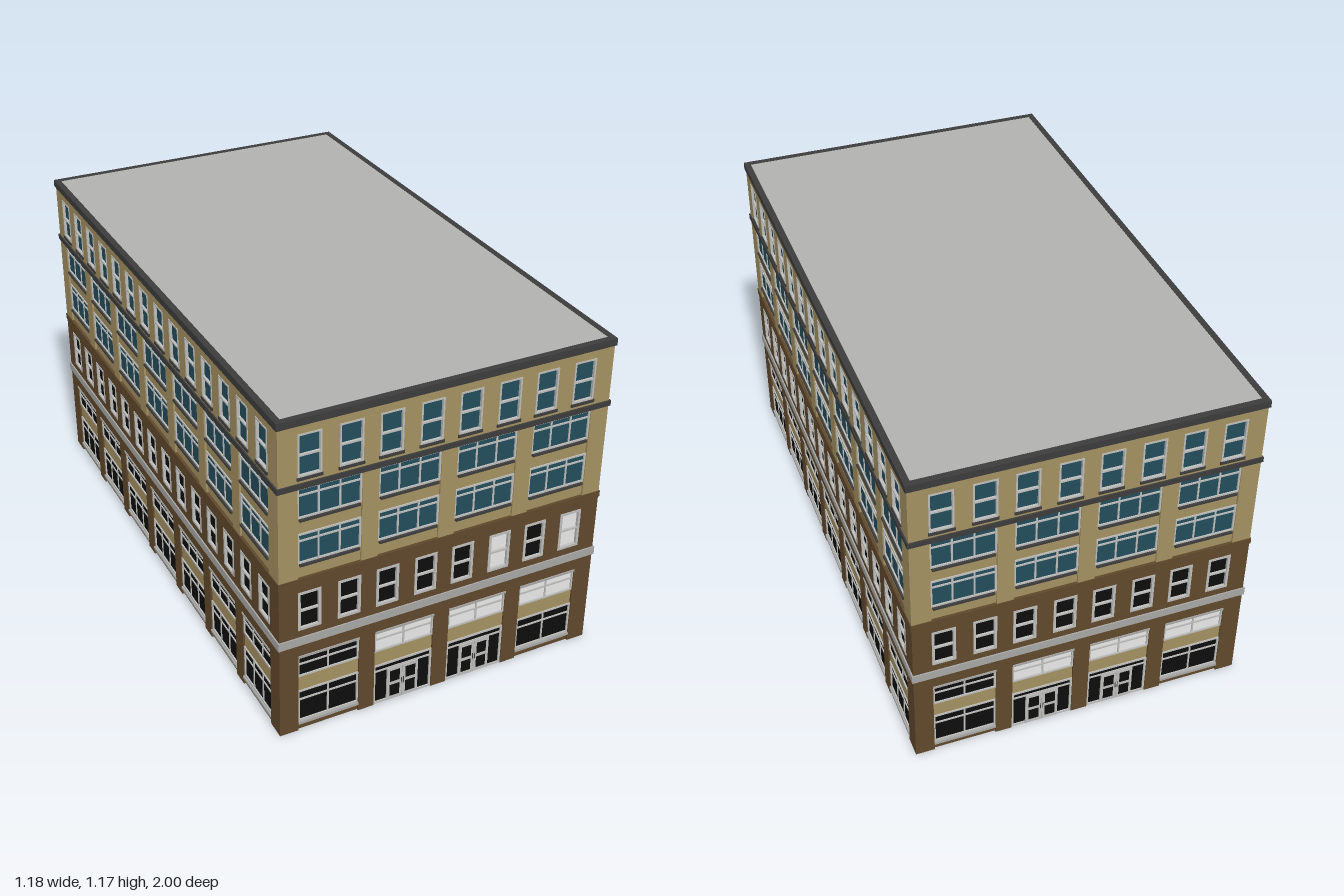
import * as THREE from 'three';
import { mergeGeometries } from 'three/addons/utils/BufferGeometryUtils.js';

const material = (name, color) => {
  const m = new THREE.MeshStandardMaterial({ color });
  m.name = name;
  return m;
};
const M = {
  tan: material('tan brick', 0xa39060),
  brown: material('brown brick', 0x5f482b),
  trim: material('dark trim', 0x3c3c3c),
  stone: material('grey stone', 0xa6a7a4),
  frame: material('window frame', 0xbcbcba),
  teal: material('teal glass', 0x234c5b),
  black: material('dark glass', 0x0d0d0d),
  white: material('lit glass', 0xffffff),
  roof: material('roof grey', 0xb1b1af),
};

const PITCH = 0.273, BAY = 0.108;       // bay spacing, half width of a bay
const HX = 0.583, HZ = 0.995;           // half size of the walls
const T = -0.014;                       // back of the wall, 0 is its outer face

// One outside wall, built in x (along), y (up), z (outwards), with n bays
function facade(n, half, isEntrance, litWindows) {
  const parts = {};
  const box = (name, mat, x0, x1, y0, y1, z0 = T, z1 = 0) => {
    const g = new THREE.BoxGeometry(x1 - x0, y1 - y0, z1 - z0);
    g.translate((x0 + x1) / 2, (y0 + y1) / 2, (z0 + z1) / 2);
    (parts[name] ??= { mat, list: [] }).list.push(g);
  };
  // A course of wall that leaves openings free
  const course = (name, mat, y0, y1, openings) => {
    let x = -half;
    for (const [a, b] of openings) {
      box(name, mat, x, a, y0, y1);
      x = b;
    }
    box(name, mat, x, half, y0, y1);
  };
  // Glass, border and glazing bars; cols and rows are fractions of the opening
  const win = (name, glass, x0, x1, y0, y1, cols, rows, f = 0.006, front = -0.003) => {
    box(name + 'Glass', glass, x0, x1, y0, y1, T + 0.001, -0.008);
    box('windowFrames', M.frame, x0, x0 + f, y0, y1, T, front);
    box('windowFrames', M.frame, x1 - f, x1, y0, y1, T, front);
    box('windowFrames', M.frame, x0 + f, x1 - f, y0, y0 + f, T, front);
    box('windowFrames', M.frame, x0 + f, x1 - f, y1 - f, y1, T, front);
    for (const c of cols) {
      const x = x0 + (x1 - x0) * c;
      box('windowFrames', M.frame, x - 0.003, x + 0.003, y0 + f, y1 - f, T, front - 0.002);
    }
    for (const r of rows) {
      const y = y0 + (y1 - y0) * r;
      box('windowFrames', M.frame, x0 + f, x1 - f, y - 0.003, y + 0.003, T, front - 0.0015);
    }
  };
  // Double entrance door with side lights and a fanlight
  const entrance = (c) => {
    win('entrance', M.black, c - BAY, c + BAY, 0, 0.16, [], [0.83], 0.007);
    for (const s of [-1, 1]) {
      const d = c + s * 0.029;
      box('doorLeaves', M.frame, d - 0.0285, d + 0.0285, 0, 0.131, T, -0.002);
      for (const y of [0.015, 0.074])
        box('doorPanes', M.black, d - 0.018, d + 0.018, y, y + 0.045, -0.002, -0.001);
      box('doorHandles', M.trim, c + s * 0.004 - 0.001, c + s * 0.004 + 0.001, 0.055, 0.08, -0.002, 0);
    }
  };

  const centres = Array.from({ length: n }, (_, i) => (i - (n - 1) / 2) * PITCH);
  const bays = centres.map(c => [c - BAY, c + BAY]);
  const narrow = centres.flatMap(c => [-1, 1].map(s => [c + s * 0.069 - 0.04, c + s * 0.069 + 0.04]));

  // Wall courses from the ground up
  course('groundPiers', M.brown, 0, 0.305, bays);
  course('lowerWall', M.brown, 0.305, 0.407, []);
  course('lowerWall', M.brown, 0.407, 0.552, narrow);
  course('lowerWall', M.brown, 0.552, 0.605, []);
  course('upperPiers', M.tan, 0.605, 0.935, bays);
  course('upperWall', M.tan, 0.935, 0.97, []);
  course('upperWall', M.tan, 0.97, 1.12, narrow);
  course('upperWall', M.tan, 1.12, 1.16, []);

  // Horizontal bands around the building
  const e = half + 0.005;
  box('stoneBand', M.stone, -e, e, 0.35, 0.38, T, 0.005);
  box('brickLedge', M.brown, -half - 0.003, half + 0.003, 0.583, 0.605, T, 0.003);
  box('middleCornice', M.trim, -e, e, 0.932, 0.951, T, 0.005);
  box('topCornice', M.trim, -e, e, 1.15, 1.175, -0.017, 0.005);

  // Recessed bays: shop windows or doors, then two rows of wide windows
  centres.forEach((c, i) => {
    const [a, b] = bays[i];
    const door = isEntrance && (i === 1 || i === 2);
    const cols = isEntrance ? [0.5] : [1 / 3, 2 / 3];
    if (door) entrance(c);
    else {
      box('shopBase', M.brown, a, b, 0, 0.025, T, -0.007);
      box('shopSills', M.stone, a, b, 0.025, 0.035, T, 0.003);
      win('shop', M.black, a, b, 0.035, 0.16, cols, [0.7]);
    }
    box('shopPanels', M.tan, a, b, 0.16, 0.217, T, -0.007);
    const lit = isEntrance && i > 0;
    win(lit ? 'litTransom' : 'transom', lit ? M.white : M.black, a, b, 0.217, 0.297, cols, [0.62]);
    box('transomHeads', M.stone, a, b, 0.297, 0.305, T, 0.003);

    box('bayPanels', M.tan, a, b, 0.605, 0.658, T, -0.007);
    box('bayPanels', M.tan, a, b, 0.767, 0.822, T, -0.007);
    for (const y of [0.658, 0.822]) {
      win('wide', M.teal, a, b, y, y + 0.109, [1 / 3, 2 / 3], [0.75]);
      box('wideSills', M.trim, a + 0.006, b - 0.006, y - 0.009, y - 0.001, -0.008, 0.003);
    }
    box('bayPanels', M.tan, a, b, 0.931, 0.936, T, -0.007);
  });

  // Narrow windows of the second and top storeys
  narrow.forEach(([a, b], i) => {
    const lit = litWindows.includes(i);
    win(lit ? 'litNarrow' : 'narrow', lit ? M.white : M.black, a, b, 0.407, 0.552, [], [0.5], 0.009, 0.002);
    win('top', M.teal, a, b, 0.972, 1.12, [], [0.5], 0.006, 0.002);
    box('topSills', M.trim, a - 0.003, b + 0.003, 0.962, 0.972, T, 0.005);
  });

  const group = new THREE.Group();
  for (const [name, { mat, list }] of Object.entries(parts)) {
    const mesh = new THREE.Mesh(mergeGeometries(list), mat);
    mesh.name = name;
    group.add(mesh);
  }
  return group;
}

export function createModel() {
  const model = new THREE.Group();
  model.name = 'officeBuilding';

  // Four walls, turned to face outwards
  const walls = [
    ['frontWall', 4, HX, HZ, 0, [5, 7]],
    ['leftWall', 7, HZ, HX, Math.PI / 2, []],
    ['backWall', 4, HX, HZ, Math.PI, []],
    ['rightWall', 7, HZ, HX, -Math.PI / 2, []],
  ];
  for (const [name, n, half, out, turn, lit] of walls) {
    const wall = facade(n, half, n === 4, lit);
    wall.name = name;
    wall.rotation.y = turn;
    wall.position.set(Math.sin(turn) * out, 0, Math.cos(turn) * out);
    model.add(wall);
  }

  // Flat roof inside the cornice
  const roof = new THREE.Mesh(new THREE.BoxGeometry(2 * HX - 0.034, 0.012, 2 * HZ - 0.034), M.roof);
  roof.name = 'roof';
  roof.position.y = 1.168;
  model.add(roof);
  return model;
}
